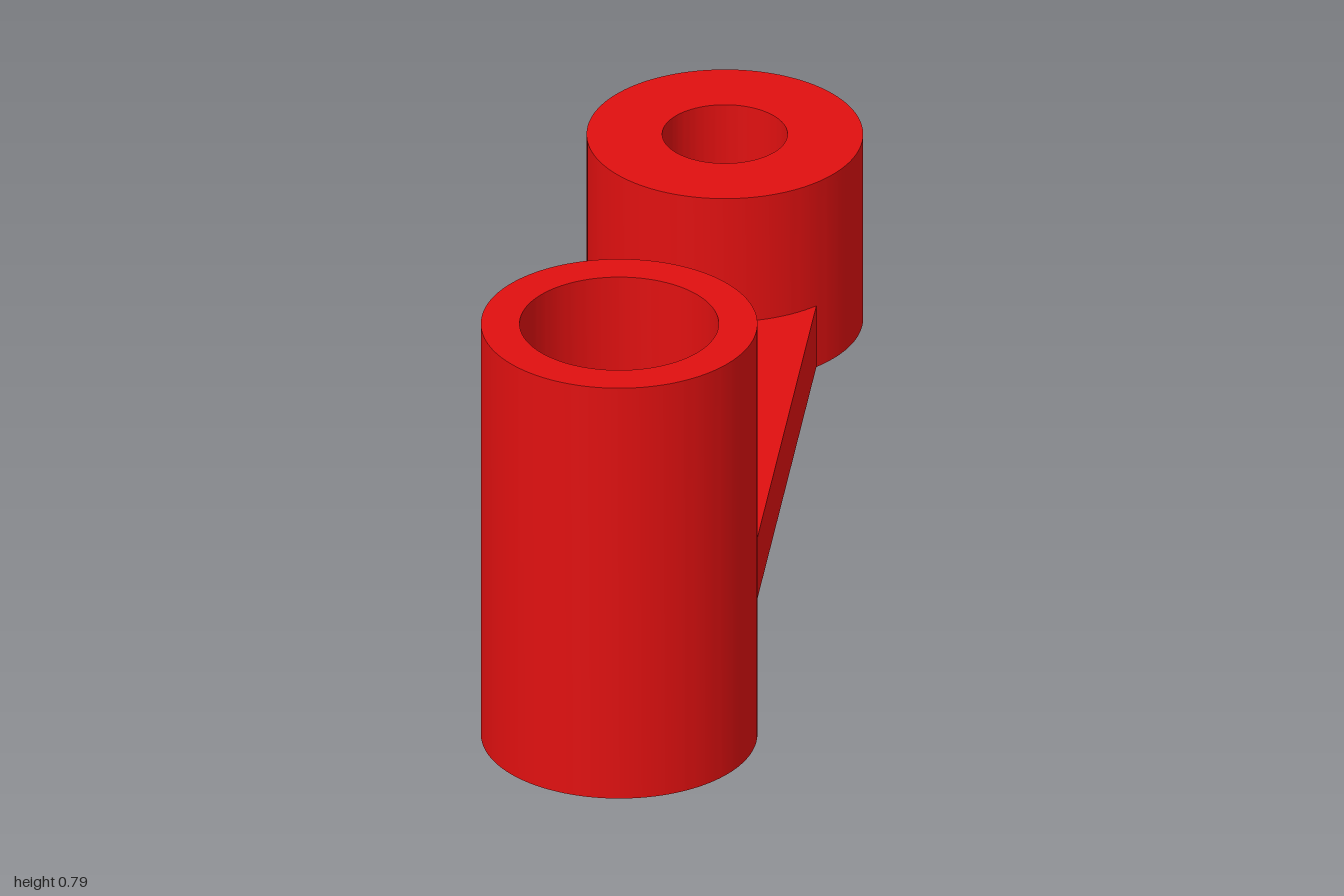
import * as THREE from 'three';
import { toCreasedNormals } from 'three/addons/utils/BufferGeometryUtils.js';

const material = new THREE.MeshStandardMaterial({ color: 0xe01010 });

// Upright sleeve with a through bore, standing on y = 0
function sleeve(name, outerRadius, boreRadius, height, z) {
  const ring = new THREE.Shape().absarc(0, 0, outerRadius, 0, Math.PI * 2, false);
  ring.holes.push(new THREE.Path().absarc(0, 0, boreRadius, 0, Math.PI * 2, true));
  const extruded = new THREE.ExtrudeGeometry(ring, { depth: height, bevelEnabled: false, curveSegments: 64 });
  extruded.rotateX(-Math.PI / 2);
  const mesh = new THREE.Mesh(toCreasedNormals(extruded, 0.6), material);
  mesh.name = name;
  mesh.position.z = z;
  return mesh;
}

export function createModel() {
  const group = new THREE.Group();
  group.name = 'crankArm';

  // Tall thin-walled sleeve in front, short thick-walled one behind
  group.add(sleeve('tallSleeve', 0.236, 0.17, 0.792, 0.764));
  group.add(sleeve('shortSleeve', 0.236, 0.107, 0.356, -0.764));

  // Flat arm joining the sleeves; its back end reaches slightly into the small bore
  const armBack = -0.675, armFront = 0.592, armHeight = 0.118;
  const arm = new THREE.Mesh(new THREE.BoxGeometry(0.352, armHeight, armFront - armBack), material);
  arm.name = 'arm';
  arm.position.set(0, armHeight / 2, (armFront + armBack) / 2);
  group.add(arm);

  return group;
}
